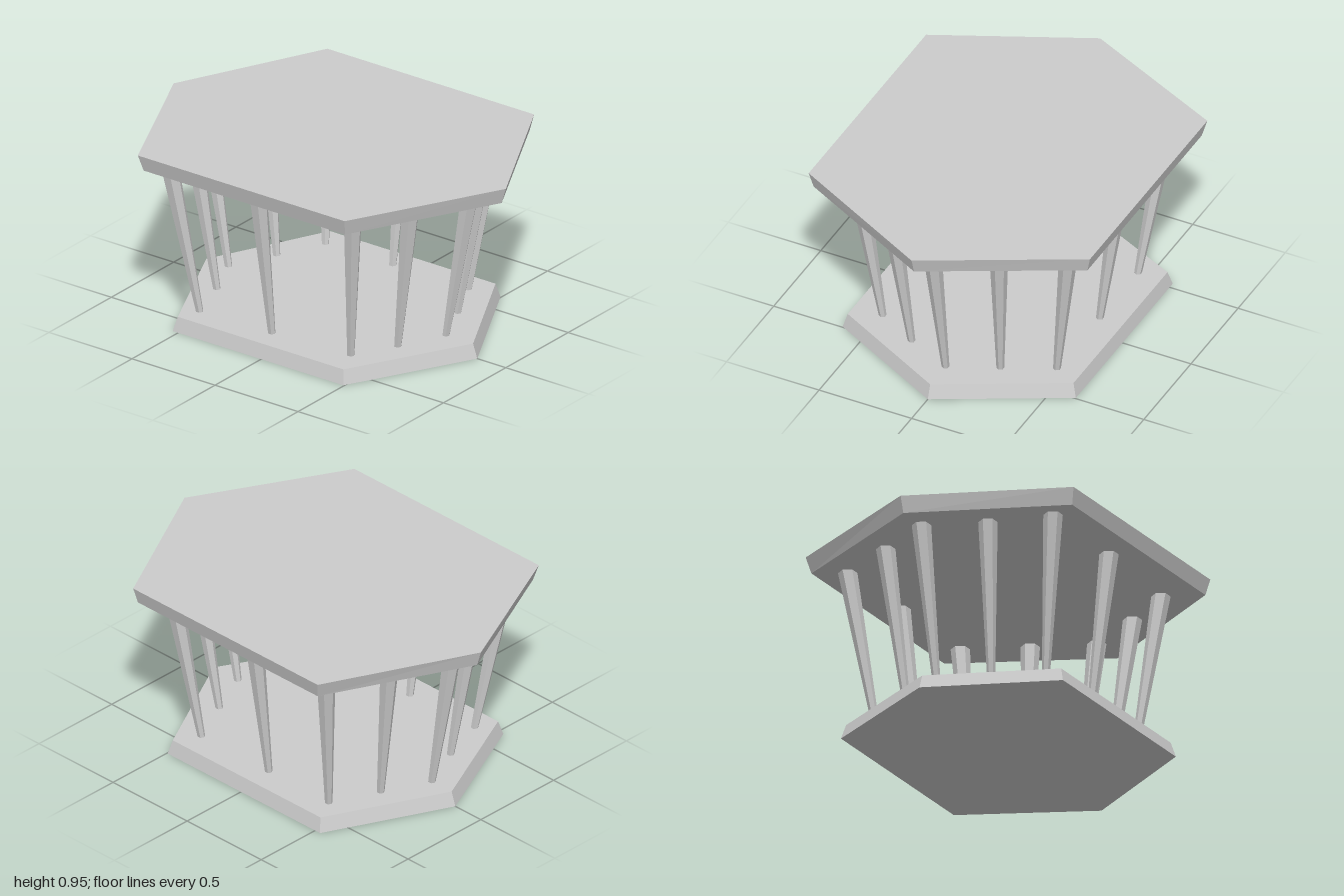
import * as THREE from 'three';

const material = new THREE.MeshStandardMaterial({ color: 0xcccccc, flatShading: true });

// Solid between two horizontal outlines ([x, z] pairs, running from +z towards +x)
function loft(name, lower, y0, upper, y1) {
  const n = lower.length;
  const pos = [], index = [];
  lower.forEach(([x, z]) => pos.push(x, y0, z));
  upper.forEach(([x, z]) => pos.push(x, y1, z));
  for (let i = 0; i < n; i++) {
    const j = (i + 1) % n;
    index.push(i, j, n + j, i, n + j, n + i);
    if (i > 0 && i < n - 1) index.push(0, i + 1, i, n, n + i, n + i + 1);
  }
  const indexed = new THREE.BufferGeometry();
  indexed.setAttribute('position', new THREE.Float32BufferAttribute(pos, 3));
  indexed.setIndex(index);
  const geometry = indexed.toNonIndexed();
  geometry.computeVertexNormals();
  const mesh = new THREE.Mesh(geometry, material);
  mesh.name = name;
  return mesh;
}

// Elongated six-sided plate outline with points at front and back
const plate = (w, tip, front, back) =>
  [[0, tip], [w, front], [w, back], [0, -tip], [-w, back], [-w, front]];

// Regular hexagon with a corner facing the front
const hexagon = (cx, cz, r) => Array.from({ length: 6 }, (_, i) => {
  const a = i * Math.PI / 3;
  return [cx + r * Math.sin(a), cz + r * Math.cos(a)];
});

export function createModel() {
  const model = new THREE.Group();
  model.name = 'hexagonalTable';

  const baseTop = 0.073, slabBottom = 0.868;

  // Base narrows upwards, table top widens upwards
  model.add(loft('base', plate(0.63, 0.828, 0.495, -0.533), 0,
    plate(0.61, 0.803, 0.48, -0.517), baseTop));
  model.add(loft('tableTop', plate(0.74, 0.975, 0.587, -0.625), slabBottom,
    plate(0.76, 1, 0.6, -0.645), 0.95));

  // Leaning tapered legs around the rim: [bottom x, bottom z, top x, top z]
  const legs = [
    [0, 0.64, 0, 0.785],
    [0, -0.67, 0, -0.81],
    [0.485, 0.41, 0.59, 0.49],
    [0.485, -0.45, 0.59, -0.535],
    [-0.457, 0.41, -0.548, 0.49],
    [-0.495, -0.472, -0.6, -0.575],
  ];
  for (const s of [1, -1]) {
    legs.push([s * 0.24, 0.53, s * 0.29, 0.645],
      [s * 0.485, -0.045, s * 0.59, -0.05],
      [s * 0.24, -0.56, s * 0.29, -0.67]);
  }
  const legGroup = new THREE.Group();
  legGroup.name = 'legs';
  for (const [bx, bz, tx, tz] of legs) {
    legGroup.add(loft('leg', hexagon(bx, bz, 0.019), baseTop,
      hexagon(tx, tz, 0.047), slabBottom));
  }
  model.add(legGroup);
  return model;
}
